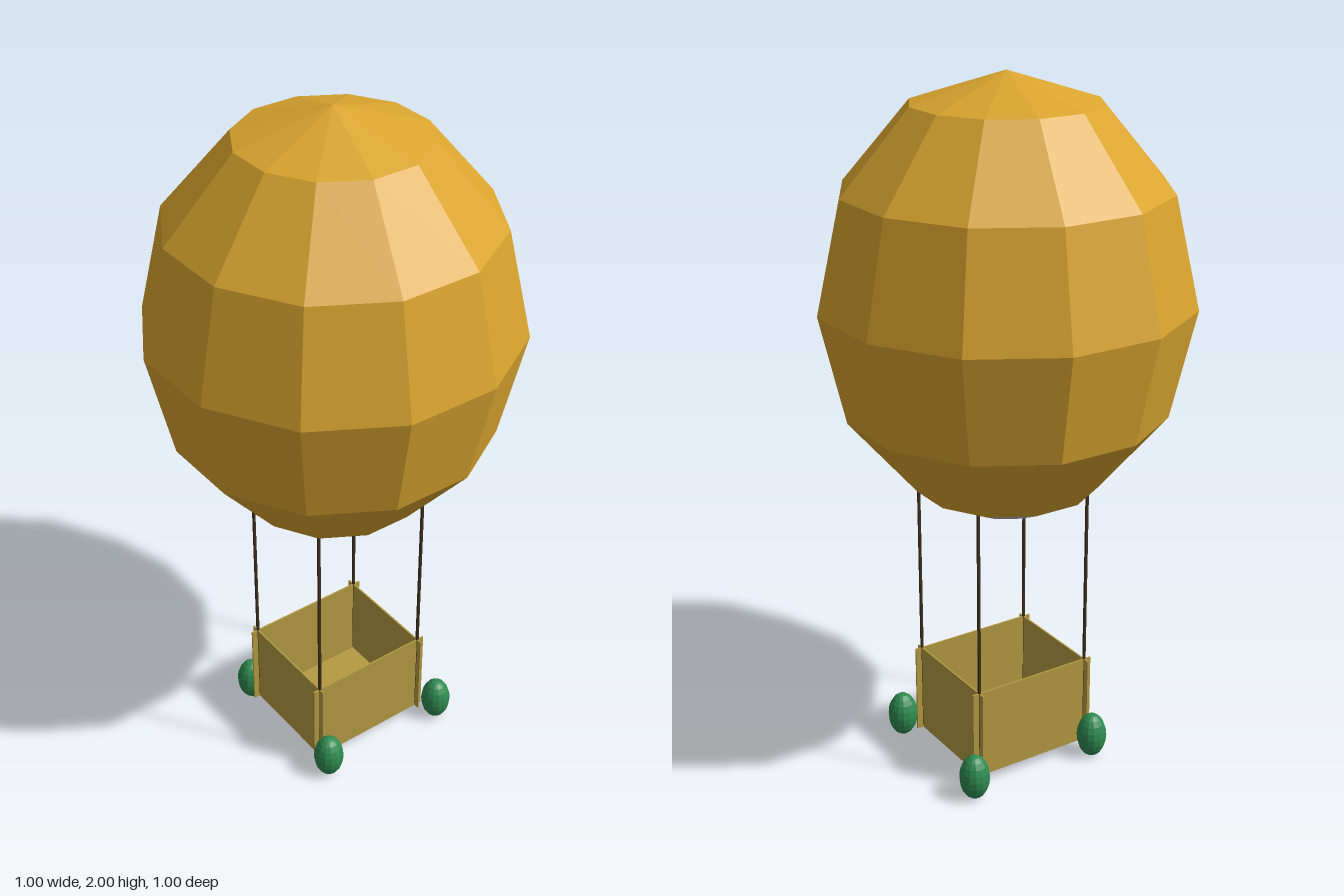
import * as THREE from 'three';

export function createModel() {
  const model = new THREE.Group();
  model.name = 'hotAirBalloon';

  const material = (name, color, flatShading = true) => {
    const m = new THREE.MeshStandardMaterial({ color, flatShading });
    m.name = name;
    return m;
  };
  const gold = material('envelope gold', 0xdaa52f);
  const silver = material('mouth silver', 0xc0c0c0);
  const wicker = material('basket tan', 0xb49a42);
  const dark = material('rope brown', 0x3d2f1c);
  const green = material('ballast green', 0x2e8b50);

  const add = (name, geometry, mat, x, y, z) => {
    const mesh = new THREE.Mesh(geometry, mat);
    mesh.name = name;
    mesh.position.set(x, y, z);
    model.add(mesh);
    return mesh;
  };

  // Envelope: twelve-sided ellipsoid, its lowest ring a separate silver cap
  const radius = 0.5 / Math.cos(Math.PI / 12);
  const envelopeBand = (name, mat, rows, start, length) => {
    const geo = new THREE.SphereGeometry(1, 12, rows, 0, Math.PI * 2, start, length);
    geo.rotateY(Math.PI / 12);
    geo.scale(radius, 0.61, radius);
    add(name, geo, mat, 0, 1.39, 0);
  };
  envelopeBand('envelope', gold, 5, 0, Math.PI * 5 / 6);
  envelopeBand('envelopeMouth', silver, 1, Math.PI * 5 / 6, Math.PI / 6);

  // Basket: thin plates that cross slightly at the corners
  const xs = [-0.137, 0.182];
  const zs = [-0.18, 0.182];
  const wall = 0.005;
  for (const z of zs) {
    add(z > 0 ? 'frontWall' : 'backWall', new THREE.BoxGeometry(0.36, 0.27, wall), wicker, 0.021, 0.165, z);
  }
  for (const x of xs) {
    add(x > 0 ? 'leftWall' : 'rightWall', new THREE.BoxGeometry(wall, 0.27, 0.405), wicker, x, 0.165, 0.001);
  }
  add('basketFloor', new THREE.BoxGeometry(0.32, wall, 0.36), wicker, 0.0225, 0.0325, 0.001);

  // Ropes at the basket corners, with an egg-shaped ballast beside each
  const rope = new THREE.BoxGeometry(0.007, 0.83, 0.007);
  const ballast = new THREE.SphereGeometry(1, 14, 10);
  ballast.scale(0.044, 0.068, 0.044);
  for (const x of xs) {
    for (const z of zs) {
      add('rope', rope, dark, x, 0.455, z);
      add('ballast', ballast, green, x > 0 ? 0.226 : -0.182, 0.068, z > 0 ? 0.182 : -0.226);
    }
  }
  return model;
}
